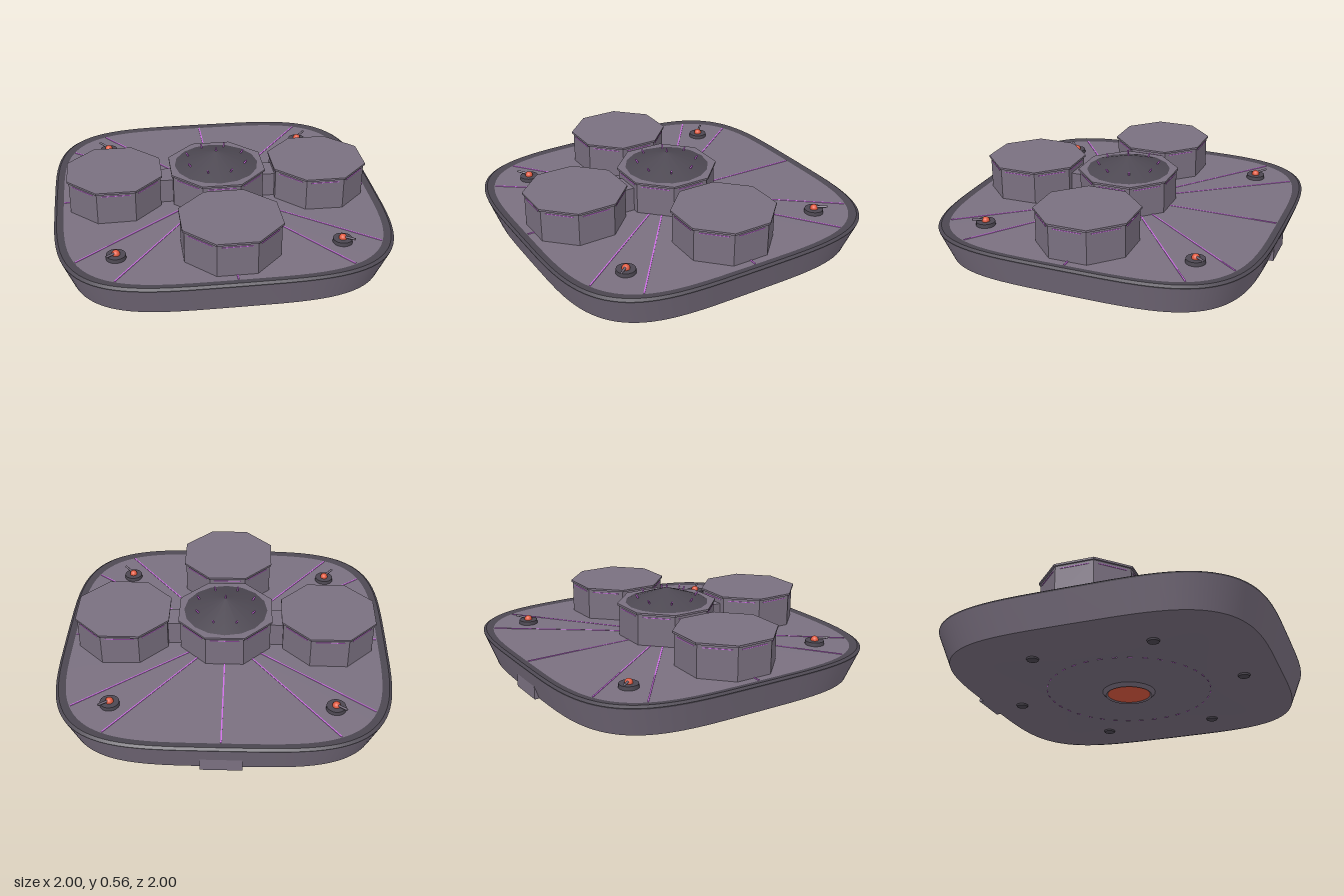
import * as THREE from 'three';
import { toCreasedNormals } from 'three/addons/utils/BufferGeometryUtils.js';

const mat = (name, color) => {
  const m = new THREE.MeshStandardMaterial({ color });
  m.name = name;
  return m;
};

export function createModel() {
  const plate = mat('mauve plating', 0x7a7080);
  const dark = mat('dark trim', 0x4d4852);
  const glow = mat('violet light', 0xd874f0);
  const orange = mat('orange light', 0xe05a40);

  const root = new THREE.Group();
  root.name = 'floatingPlatform';
  const add = (parent, name, geo, material, x = 0, y = 0, z = 0) => {
    const m = new THREE.Mesh(geo, material);
    m.name = name;
    m.position.set(x, y, z);
    parent.add(m);
    return m;
  };
  const group = (name, x = 0, y = 0, z = 0) => {
    const g = new THREE.Group();
    g.name = name;
    g.position.set(x, y, z);
    root.add(g);
    return g;
  };

  // Rounded-square outline: turns a circle direction into a squared one
  const square = (v) => Math.sign(v) * Math.sqrt(Math.abs(v));
  const squareLathe = (points) => {
    const geo = new THREE.LatheGeometry(points.map(([r, y]) => new THREE.Vector2(r, y)), 96);
    const p = geo.attributes.position;
    for (let i = 0; i < p.count; i++) {
      const x = p.getX(i), z = p.getZ(i), r = Math.hypot(x, z);
      if (r > 1e-6) p.setXYZ(i, r * square(x / r), p.getY(i), r * square(z / r));
    }
    return toCreasedNormals(geo, 0.4);
  };
  const octagon = (halfWidth, height) => {
    const r = halfWidth / Math.cos(Math.PI / 8);
    return toCreasedNormals(new THREE.CylinderGeometry(r, r, height, 8).rotateY(Math.PI / 8), 0.3);
  };

  // Hull
  add(root, 'underside', squareLathe([[0, 0.02], [0.9, 0.036], [0.935, 0.045]]), plate);
  add(root, 'hullSide', squareLathe([[0.935, 0.045], [0.998, 0.222]]), plate);
  add(root, 'rim', squareLathe([[0.998, 0.222], [1, 0.23], [0.985, 0.241], [0.945, 0.234]]), dark);
  add(root, 'deck', squareLathe([[0.945, 0.234], [0.45, 0.24], [0, 0.243]]), plate);
  add(root, 'rearHatch', new THREE.BoxGeometry(0.24, 0.11, 0.06), plate, 0, 0.1, -0.933);

  // Light strips radiating over the deck
  for (let i = 0; i < 12; i++) {
    const a = (i * Math.PI) / 6;
    const x = 0.94 * square(Math.round(Math.sin(a) * 1e6) / 1e6);
    const z = 0.94 * square(Math.round(Math.cos(a) * 1e6) / 1e6);
    const inner = 0.27, outer = Math.hypot(x, z);
    const pivot = group('deckLight');
    pivot.rotation.y = Math.atan2(x, z);
    const strip = add(pivot, 'deckLightStrip', new THREE.BoxGeometry(0.008, 0.005, outer - inner), glow, 0, 0.2385, (inner + outer) / 2);
    strip.rotation.x = 0.008;
  }

  // Eight-sided buildings: a central tower and three modules
  const building = (name, x, z) => {
    const g = group(name, x, 0, z);
    add(g, 'walls', octagon(0.274, 0.21), plate, 0, 0.335, 0);
    add(g, 'roof', octagon(0.284, 0.012), plate, 0, 0.44, 0);
    for (let i = 0; i < 8; i++) {
      const a = (i * Math.PI) / 4;
      const s = add(g, 'wallLight', new THREE.BoxGeometry(0.17, 0.004, 0.005), glow, 0.275 * Math.sin(a), 0.417, 0.275 * Math.cos(a));
      s.rotation.y = a;
    }
    return g;
  };
  const tower = building('centralTower', 0, 0);
  for (const [name, x, z] of [['leftModule', 1, 0], ['rightModule', -1, 0], ['frontModule', 0, 1]]) {
    building(name, x * 0.626, z * 0.626);
    const link = add(root, 'connector', new THREE.BoxGeometry(0.15, 0.155, 0.13), plate, x * 0.313, 0.3125, z * 0.313);
    link.rotation.y = Math.atan2(x, z);
  }

  // Conical tower roof with its antenna and small lamps
  add(tower, 'coneRoof', toCreasedNormals(new THREE.ConeGeometry(0.258, 0.09, 16), 0.3), dark, 0, 0.49, 0);
  add(tower, 'antenna', new THREE.CylinderGeometry(0.003, 0.006, 0.03, 8), glow, 0, 0.542, 0);
  for (let i = 0; i < 8; i++) {
    const a = ((i + 0.5) * Math.PI) / 4;
    const lamp = add(tower, 'roofLamp', new THREE.CylinderGeometry(0.005, 0.005, 0.03, 8), glow, 0.184 * Math.sin(a), 0.482, 0.184 * Math.cos(a));
    lamp.rotation.set(0.6, a, 0, 'YXZ');
  }

  // Corner turrets, each with one barrel pointing outward
  for (const sx of [-1, 1]) for (const sz of [-1, 1]) {
    const g = group('turret', sx * 0.648, 0.235, sz * 0.648);
    g.rotation.y = Math.atan2(sx, sz);
    add(g, 'turretBase', new THREE.CylinderGeometry(0.056, 0.058, 0.024, 20), dark, 0, 0.012, 0);
    add(g, 'turretEye', new THREE.SphereGeometry(0.024, 16, 10), orange, 0, 0.027, 0);
    const barrel = add(g, 'barrel', new THREE.CylinderGeometry(0.007, 0.007, 0.07, 8), plate, 0, 0.041, 0.045);
    barrel.rotation.x = Math.PI / 2 - 0.15;
  }

  // Underside: central drive, light ring and six thrusters
  const ring = [[0.128, 0.018], [0.13, 0.008], [0.14, 0], [0.152, 0.012], [0.162, 0.024]];
  add(root, 'driveCollar', toCreasedNormals(new THREE.LatheGeometry(ring.map(([r, y]) => new THREE.Vector2(r, y)).reverse(), 40), 0.5), plate).material.side = THREE.DoubleSide;
  add(root, 'driveGlow', new THREE.CylinderGeometry(0.134, 0.134, 0.01, 40), orange, 0, 0.013, 0);
  for (let i = 0; i < 36; i++) {
    const a = (i * Math.PI) / 18;
    const dash = add(root, 'bellyLight', new THREE.BoxGeometry(0.03, 0.005, 0.004), glow, 0.5 * Math.sin(a), 0.0275, 0.5 * Math.cos(a));
    dash.rotation.y = a;
  }
  for (let i = 0; i < 6; i++) {
    const a = (i * Math.PI) / 3;
    add(root, 'thruster', new THREE.CylinderGeometry(0.04, 0.034, 0.022, 16), dark, 0.72 * Math.sin(a), 0.033, 0.72 * Math.cos(a));
  }
  return root;
}
